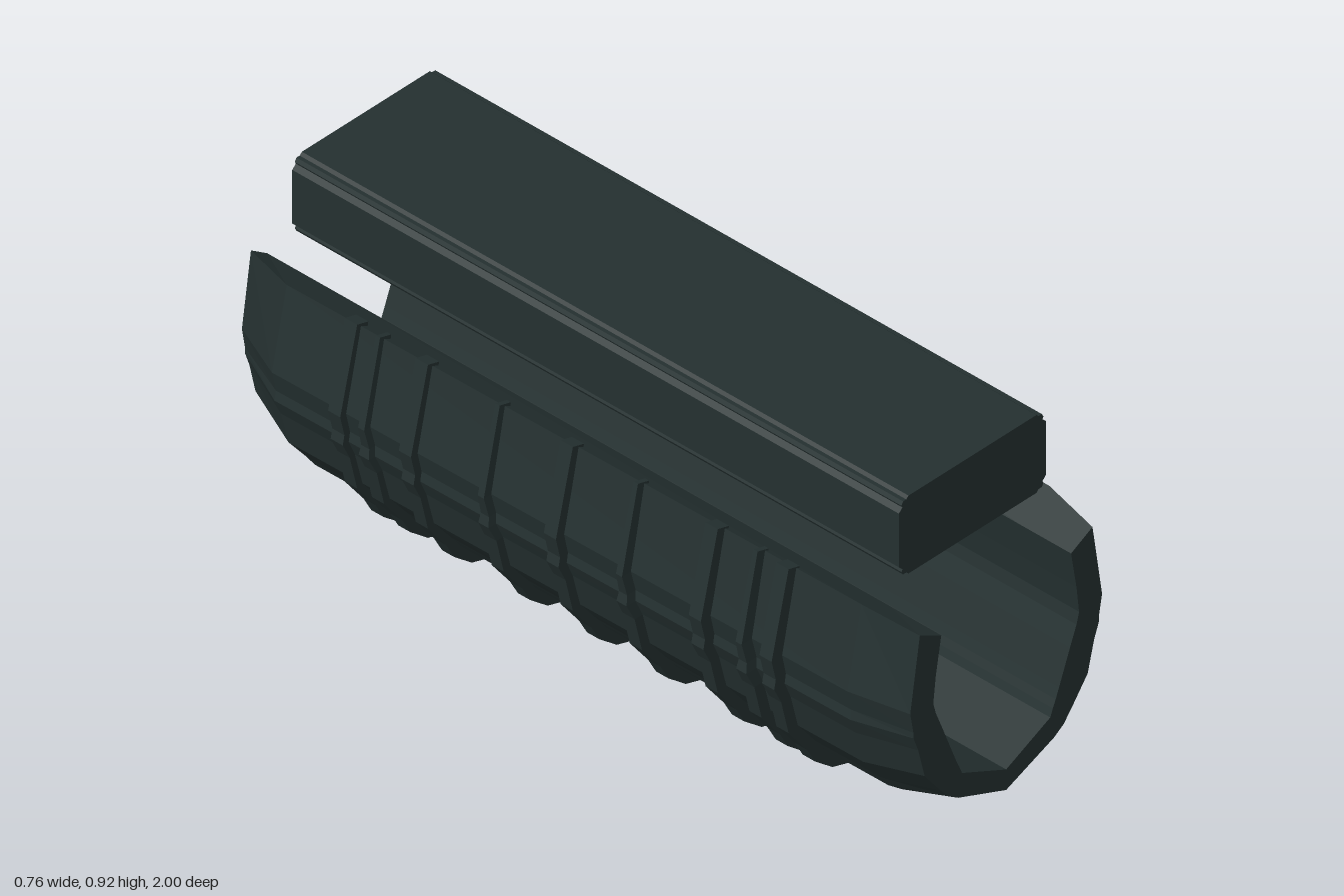
import * as THREE from 'three';

const CX = -0.008; // centre line of the cradle

// Half profiles, top edge to keel, as [distance from centre line, height]
const SHELL = [[0.30, 0.655], [0.345, 0.445], [0.333, 0.39], [0.337, 0.365], [0.318, 0.32],
  [0.295, 0.23], [0.24, 0.16], [0.215, 0.125], [0.17, 0.09], [0, 0.025]];
const RIM = [[0.27, 0.635], [0.30, 0.44], [0.29, 0.385], [0.29, 0.37], [0.275, 0.33],
  [0.255, 0.25], [0.205, 0.185], [0.18, 0.155], [0.15, 0.135], [0, 0.075]];
const BORE = [[0.203, 0.60], [0.22, 0.5], [0.228, 0.43], [0.22, 0.40], [0.20, 0.35],
  [0.165, 0.26], [0.155, 0.235], [0.146, 0.215], [0.138, 0.195], [0, 0.13]];
const RIB = [[0.32, 0.665], [0.373, 0.445], [0.36, 0.39], [0.365, 0.365], [0.343, 0.32],
  [0.32, 0.225], [0.263, 0.15], [0.238, 0.105], [0.183, 0.06], [0, 0.003]];

// Mirror a half profile into a full U, then close it with an inner U
function loop(outer, inner, scale, zAt) {
  const full = (half, s) => [
    ...half.map(([d, y], i) => [CX + d * s, y, zAt(i)]),
    ...half.slice(0, -1).map(([d, y], i) => [CX - d * s, y, zAt(i)]).reverse(),
  ];
  return [...full(outer, scale), ...full(inner, 1).reverse()];
}

// Skin a row of loops from front to back and cap both ends
function loft(sections) {
  const pos = [];
  const quad = (a, b, c, d) => pos.push(...a, ...b, ...c, ...a, ...c, ...d);
  const n = sections[0].length;
  for (let s = 0; s < sections.length - 1; s++) {
    const f = sections[s], b = sections[s + 1];
    for (let i = 0; i < n; i++) {
      const j = (i + 1) % n;
      quad(f[i], f[j], b[j], b[i]);
    }
  }
  const f = sections[0], b = sections[sections.length - 1];
  for (let i = 0; i < n / 2 - 1; i++) {
    const k = n - 1 - i;
    quad(f[i], f[k], f[k - 1], f[i + 1]);
    quad(b[i], b[i + 1], b[k - 1], b[k]);
  }
  const geo = new THREE.BufferGeometry();
  geo.setAttribute('position', new THREE.Float32BufferAttribute(pos, 3));
  geo.computeVertexNormals();
  return geo;
}

export function createModel() {
  const model = new THREE.Group();
  model.name = 'railAndCradle';
  const darkGreen = new THREE.MeshStandardMaterial({ color: 0x243030 });
  darkGreen.name = 'darkGreen';
  const add = (geo, name, parent = model) => {
    const mesh = new THREE.Mesh(geo, darkGreen);
    mesh.name = name;
    parent.add(mesh);
    return mesh;
  };

  // Open-topped shell with tapered ends
  add(loft([
    loop(RIM, BORE, 1, () => 1),
    loop(SHELL, BORE, 0.98, () => 0.85),
    loop(SHELL, BORE, 1.035, () => -0.84),
    loop(RIM, BORE, 0.94, () => -1),
  ]), 'cradleShell');

  // Raised ribs; some narrow towards the top
  const ribs = new THREE.Group();
  ribs.name = 'ribs';
  model.add(ribs);
  const ribSeat = SHELL.map(([d, y]) => [d * 0.95, y + (d ? 0 : 0.02)]);
  for (const [z, tapered] of [[0.64, 0], [0.56, 1], [0.43, 0], [0.205, 1], [0, 0],
    [-0.205, 1], [-0.43, 0], [-0.56, 1], [-0.64, 0]]) {
    const half = (i) => (tapered ? Math.min(0.018, 0.006 + i * 0.003) : 0.018);
    add(loft([
      loop(RIB, ribSeat, 1, (i) => z + half(i)),
      loop(RIB, ribSeat, 1, (i) => z - half(i)),
    ]), 'rib', ribs);
  }

  // Long bar with stepped corners
  const corner = [[0.23, 0.072], [0.219, 0.083], [0.222, 0.089], [0.217, 0.098],
    [0.207, 0.098], [0.2, 0.1045]];
  const flip = (sx, sy) => corner.map(([x, y]) => new THREE.Vector2(x * sx, y * sy));
  const outline = new THREE.Shape([
    ...flip(1, 1), ...flip(-1, 1).reverse(), ...flip(-1, -1), ...flip(1, -1).reverse(),
  ]);
  const bar = new THREE.ExtrudeGeometry(outline, { depth: 1.8, bevelEnabled: false });
  bar.translate(CX, 0.8175, -0.9);
  add(bar, 'topBar');

  // Two pins on the left side
  for (const z of [0.835, -0.835]) {
    const pin = new THREE.CylinderGeometry(0.033, 0.033, 0.045, 8).toNonIndexed();
    pin.computeVertexNormals();
    pin.rotateZ(-Math.PI / 2);
    add(pin, 'pin').position.set(0.356, 0.444, z);
  }
  return model;
}
